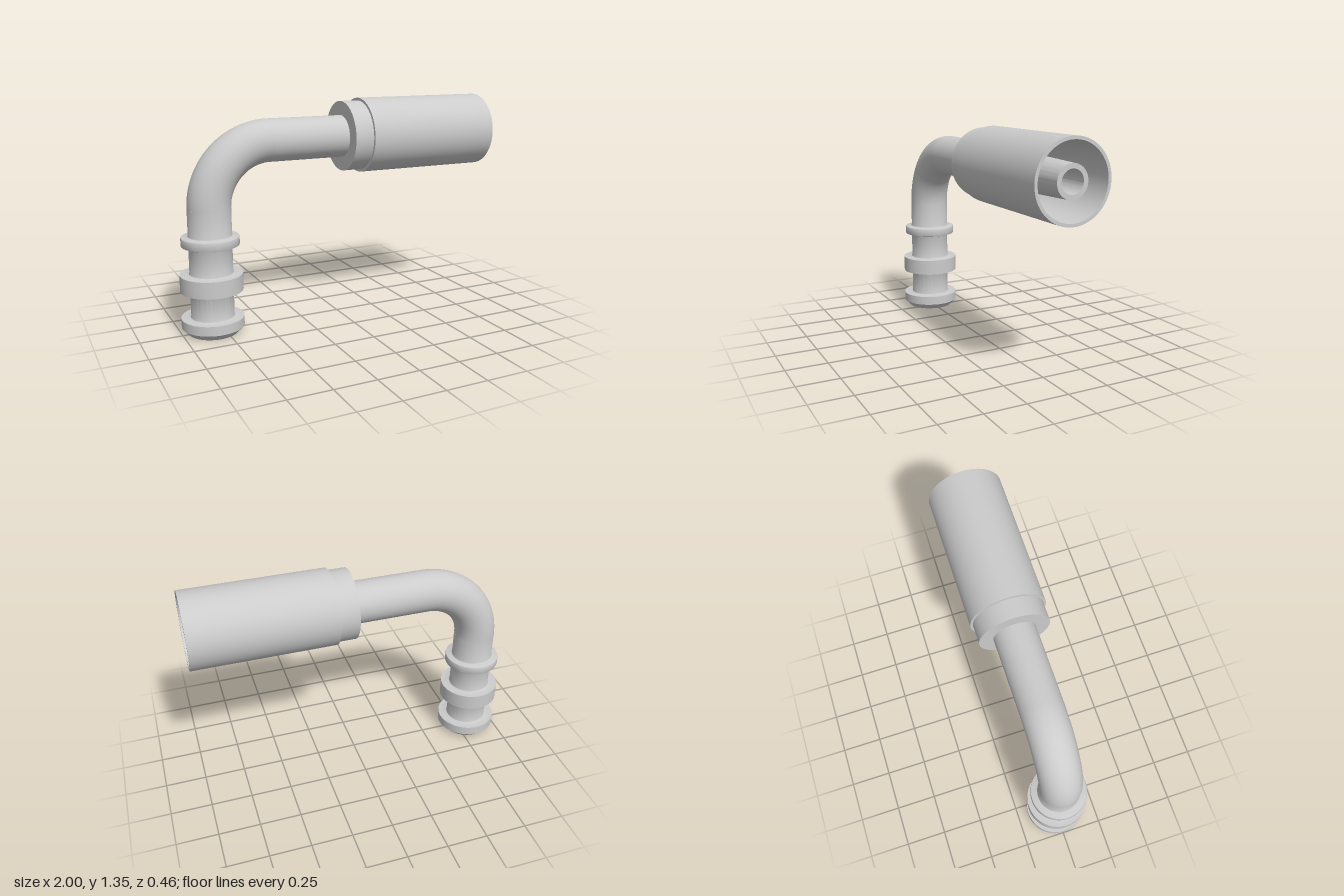
import * as THREE from 'three';
import { toCreasedNormals } from 'three/addons/utils/BufferGeometryUtils.js';

const AXIS_X = -0.815, AXIS_Y = 1.12; // leg axis and hose axis
const BEND = 0.37, TUBE = 0.127, BORE = 0.068;

const grey = new THREE.MeshStandardMaterial({ color: 0xcccccc });
const inside = new THREE.MeshStandardMaterial({ color: 0xcccccc, side: THREE.DoubleSide });

// Revolve [radius, height] pairs, keeping the turned edges sharp
function turned(name, profile, material = grey) {
  const points = profile.map(([r, h]) => new THREE.Vector2(r, h));
  const geometry = toCreasedNormals(new THREE.LatheGeometry(points, 72), 0.45);
  const mesh = new THREE.Mesh(geometry, material);
  mesh.name = name;
  return mesh;
}

// Quarter elbow from the leg to the hose axis
function elbow(name, radius, material) {
  const geometry = new THREE.TorusGeometry(BEND, radius, 48, 40, Math.PI / 2);
  geometry.rotateZ(Math.PI / 2);
  const mesh = new THREE.Mesh(geometry, material);
  mesh.name = name;
  mesh.position.set(AXIS_X + BEND, AXIS_Y - BEND, 0);
  return mesh;
}

export function createModel() {
  const model = new THREE.Group();
  model.name = 'elbowHoseFitting';
  const bendX = AXIS_X + BEND, bendY = AXIS_Y - BEND;

  // Upright leg: chamfered end flange, middle collar and rounded upper ring
  const leg = new THREE.Group();
  leg.name = 'leg';
  leg.position.x = AXIS_X;
  leg.add(turned('plugEnd', [
    [BORE, 0], [0.148, 0], [0.185, 0.038], [0.185, 0.095], [0.137, 0.095], [0.13, 0.098], [TUBE, 0.105],
    [TUBE, 0.25], [0.13, 0.257], [0.137, 0.26], [0.185, 0.26], [0.185, 0.36], [0.137, 0.36], [0.13, 0.363], [TUBE, 0.37],
    [TUBE, 0.52], [0.13, 0.527], [0.137, 0.53], [0.163, 0.53], [0.168, 0.532], [0.17, 0.537],
    [0.17, 0.578], [0.168, 0.583], [0.163, 0.585], [0.137, 0.585], [0.13, 0.588], [TUBE, 0.595], [TUBE, bendY],
  ]));
  leg.add(turned('legBore', [[BORE, bendY], [BORE, 0]], inside));
  model.add(leg);

  // Bend with its bore
  model.add(elbow('bend', TUBE, grey), elbow('bendBore', BORE, inside));

  // Hose end, turned about the horizontal axis
  const hoseEnd = new THREE.Group();
  hoseEnd.name = 'hoseEnd';
  hoseEnd.position.y = AXIS_Y;
  hoseEnd.rotation.z = -Math.PI / 2;
  hoseEnd.add(turned('straightTube', [[TUBE, bendX], [TUBE, 0.03]]));
  // Stepped sleeve with a tapered cavity
  hoseEnd.add(turned('crimpSleeve', [
    [TUBE, 0.027], [0.212, 0.027], [0.212, 0.145], [0.228, 0.145],
    [0.228, 1], [0.21, 1], [0.177, 0.2], [0.117, 0.2],
  ]));
  // Tapered nipple inside the sleeve, hollow right through
  hoseEnd.add(turned('nipple', [[0.117, 0.2], [0.093, 0.99], [BORE - 0.002, 0.99]]));
  hoseEnd.add(turned('hoseBore', [[BORE - 0.002, 0.99], [BORE, bendX]], inside));
  model.add(hoseEnd);

  return model;
}
